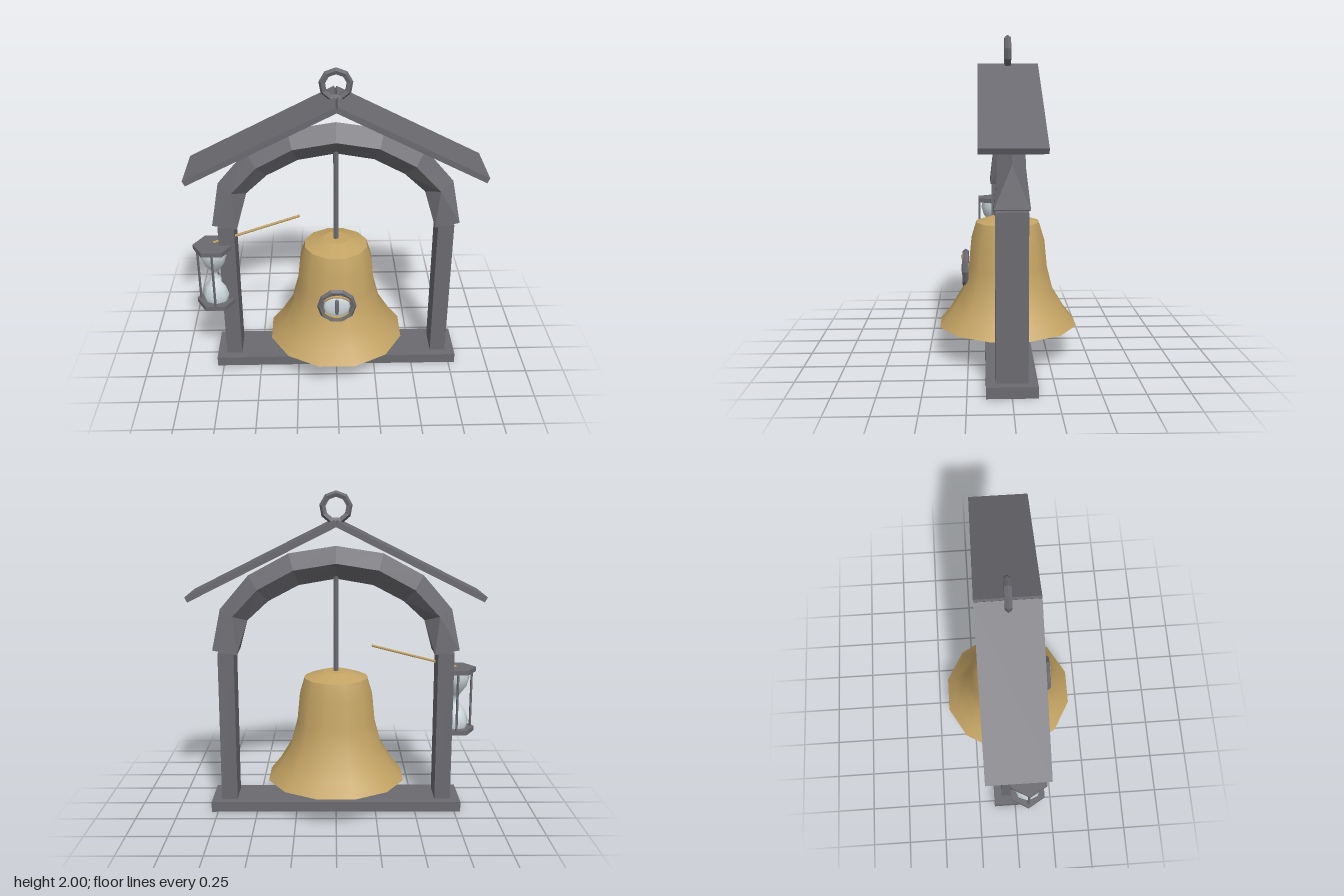
import * as THREE from 'three';

const material = (name, color, side = THREE.FrontSide, flatShading = false) => {
  const m = new THREE.MeshStandardMaterial({ color, side, flatShading });
  m.name = name;
  return m;
};

export function createModel() {
  const model = new THREE.Group();
  model.name = 'bellShrine';
  const grey = material('darkIron', 0x6b6a70, THREE.FrontSide, true);
  const gold = material('brass', 0xc4a464, THREE.DoubleSide);
  const glass = material('paleGlass', 0xcdd8dc);

  const add = (name, geometry, mat, x = 0, y = 0, z = 0, parent = model) => {
    const mesh = new THREE.Mesh(geometry, mat);
    mesh.name = name;
    mesh.position.set(x, y, z);
    parent.add(mesh);
    return mesh;
  };
  const box = (w, h, d) => new THREE.BoxGeometry(w, h, d);
  const lathe = (points, sides, start = 0) =>
    new THREE.LatheGeometry(points.map(([r, y]) => new THREE.Vector2(r, y)), sides, start);

  // Frame: base, posts and pitched roof
  add('base', box(1.58, 0.065, 0.29), grey, 0, 0.0325);
  for (const s of [-1, 1]) {
    add('post', box(0.1, 0.955, 0.184), grey, s * 0.68, 0.5425);
    add('roofSlab', box(1, 0.035, 0.37), grey, s * 0.447, 1.59).rotation.z = -s * 0.464;
  }

  // Arch: diamond-section beam that turns into a square foot on each post
  const archHalf = () => {
    const sections = [ // outer x, y, inner x, y
      [0, 1.67, 0, 1.47], [0.29, 1.625, 0.23, 1.43],
      [0.54, 1.49, 0.42, 1.33], [0.72, 1.28, 0.55, 1.21],
    ];
    const rings = sections.map(([ox, oy, ix, iy]) => {
      const mx = (ox + ix) / 2, my = (oy + iy) / 2;
      return [[ox, oy, 0], [mx, my, 0.08], [ix, iy, 0], [mx, my, -0.08]];
    });
    const foot = [[0.76, 1.04, 0.1], [0.61, 1.01, 0.1], [0.61, 1.01, -0.1], [0.76, 1.04, -0.1]];
    const out = [];
    const tri = (a, b, c) => out.push(...a, ...b, ...c);
    for (let k = 0; k < 4; k++) {
      const n = (k + 1) % 4;
      for (let i = 0; i < 3; i++) {
        const a = rings[i], b = rings[i + 1];
        tri(a[k], a[n], b[k]);
        tri(a[n], b[n], b[k]);
      }
      tri(rings[3][k], rings[3][n], foot[k]);
      tri(rings[3][k], foot[k], foot[(k + 3) % 4]);
    }
    tri(foot[0], foot[1], foot[2]);
    tri(foot[0], foot[2], foot[3]);
    const g = new THREE.BufferGeometry();
    g.setAttribute('position', new THREE.Float32BufferAttribute(out, 3));
    g.computeVertexNormals();
    return g;
  };
  for (const turn of [0, Math.PI]) add('archHalf', archHalf(), grey).rotation.y = turn;

  // Hanging ring on the ridge
  add('topRing', new THREE.TorusGeometry(0.081, 0.021, 5, 9), grey, 0, 1.9).rotation.z = Math.PI / 2;

  // Bell with its rod and clapper
  add('bellBody', lathe([
    [0.44, 0.2], [0.375, 0.28], [0.295, 0.41], [0.253, 0.57], [0.236, 0.74], [0.202, 0.85],
  ], 12, Math.PI / 12), gold);
  add('bellCrown', lathe([[0.202, 0.85], [0.08, 0.89]], 12, Math.PI / 12), gold);
  add('bellCap', lathe([[0.08, 0.89], [0, 0.89]], 12, Math.PI / 12), gold);
  add('hangingRod', new THREE.CylinderGeometry(0.018, 0.018, 1.28, 6), grey, 0, 0.86);
  add('clapper', lathe([[0, 0.07], [0.08, 0.12], [0.065, 0.2], [0.03, 0.25], [0, 0.26]], 6), grey);

  // Eye ornament on the bell
  const eye = new THREE.Group();
  eye.name = 'eyeOrnament';
  eye.position.set(0, 0.55, 0.265);
  model.add(eye);
  add('eyeRing', new THREE.TorusGeometry(0.104, 0.02, 5, 10), grey, 0, 0, 0, eye);
  add('eyeball', new THREE.SphereGeometry(1, 12, 8), glass, 0, -0.005, 0, eye).scale.set(0.085, 0.08, 0.022);
  add('pupil', new THREE.SphereGeometry(1, 6, 6), grey, 0, 0, 0.016, eye).scale.set(0.018, 0.06, 0.012);
  const lid = (name, s, z) => {
    const path = new THREE.CatmullRomCurve3([
      new THREE.Vector3(-0.09, s * 0.035, 0.005), new THREE.Vector3(-0.05, s * 0.066, z),
      new THREE.Vector3(0, s * 0.08, z + 0.006), new THREE.Vector3(0.05, s * 0.066, z),
      new THREE.Vector3(0.09, s * 0.035, 0.005),
    ]);
    add(name, new THREE.TubeGeometry(path, 8, 0.009, 5), gold, 0, 0, 0, eye);
  };
  lid('upperEyelid', 1, 0.014);
  lid('lowerEyelid', -1, 0.006);

  // Hourglass on the right post
  const hourglass = new THREE.Group();
  hourglass.name = 'hourglass';
  hourglass.position.set(-0.768, 0, 0.075);
  model.add(hourglass);
  for (const y of [0.485, 0.88]) {
    add('hourglassPlate', new THREE.CylinderGeometry(0.127, 0.127, 0.03, 6), grey, 0, y, 0, hourglass)
      .rotation.y = Math.PI / 2;
  }
  add('hourglassBulbs', lathe([
    [0.08, 0.5], [0.088, 0.54], [0.07, 0.6], [0.03, 0.65], [0.013, 0.683],
    [0.03, 0.715], [0.07, 0.765], [0.088, 0.825], [0.08, 0.865],
  ], 8), glass, 0, 0, 0, hourglass);
  for (let i = 0; i < 4; i++) {
    const a = i * Math.PI / 2;
    add('hourglassRod', new THREE.CylinderGeometry(0.008, 0.008, 0.37, 5), grey,
      Math.cos(a) * 0.102, 0.6825, Math.sin(a) * 0.102, hourglass);
  }

  // Thin striker resting on the hourglass
  const strikerPath = new THREE.LineCurve3(new THREE.Vector3(-0.765, 0.9, 0.06), new THREE.Vector3(-0.225, 1.05, 0));
  add('striker', new THREE.TubeGeometry(strikerPath, 1, 0.008, 6), gold);

  return model;
}
